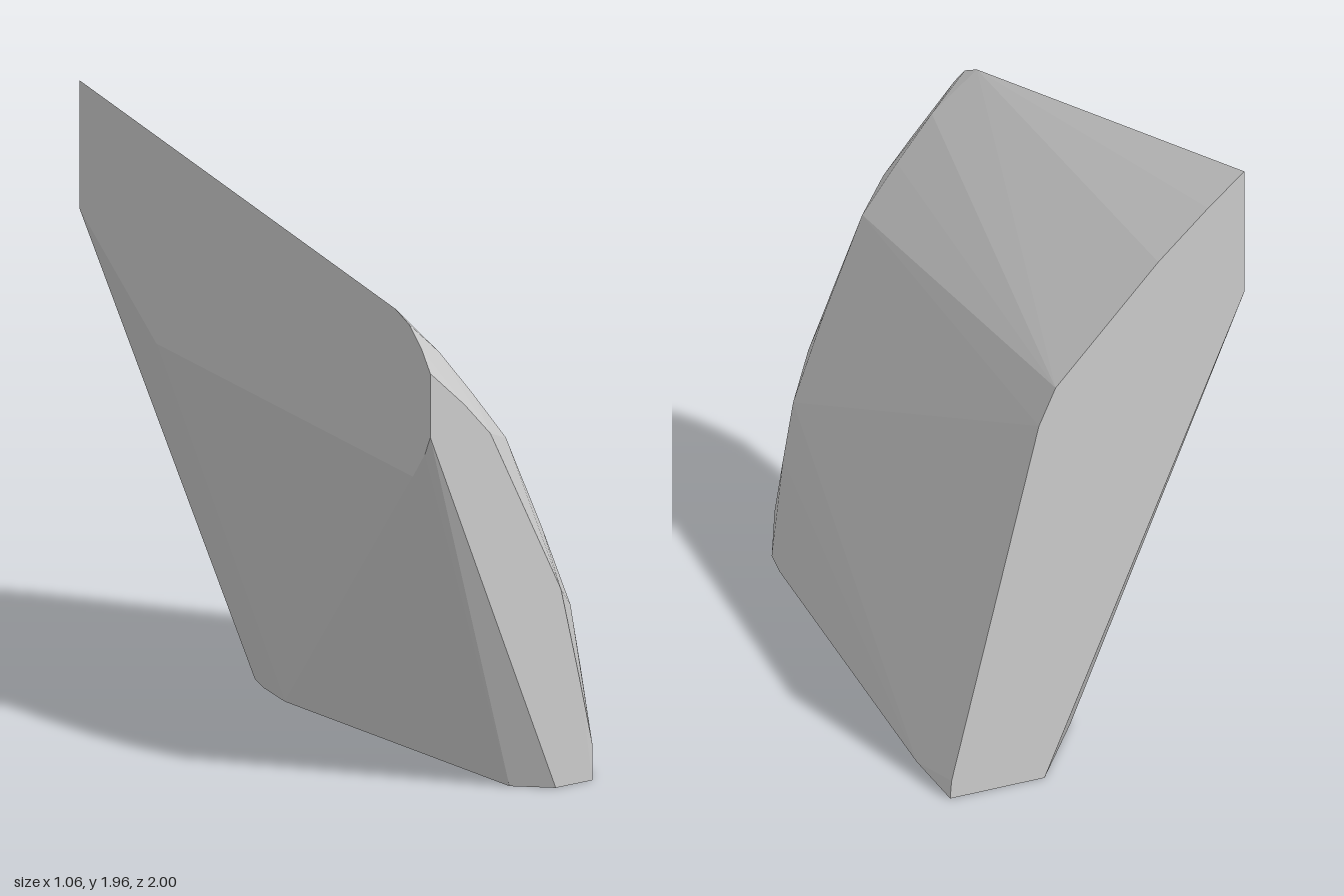
import * as THREE from 'three';
import { ConvexGeometry } from 'three/addons/geometries/ConvexGeometry.js';

export function createModel() {
  const group = new THREE.Group();
  group.name = 'facetedShard';
  const stone = new THREE.MeshStandardMaterial({ color: 0xcccccc });
  stone.name = 'lightGrey';

  // Flat back end, as x, y at z = -1
  const back = [
    [-0.53, 1.96], [-0.4, 1.86], [-0.22, 1.71], [0.15, 1.35], [0.21, 1.23],
    [0.525, 0.06], [0.53, 0], [0.19, 0], [-0.53, 1.54],
  ].map(([x, y]) => [x, y, -1]);

  // Flat front end, as x, y at z = 1
  const front = [
    [-0.53, 1.43], [-0.4, 1.31], [-0.3, 1.2], [-0.03, 0.65],
    [0.04, 0.35], [-0.05, 0], [-0.53, 1.22],
  ].map(([x, y]) => [x, y, 1]);

  // Rounded shoulder between the front end and the outer side
  const shoulder = [
    [-0.53, 1.6, 0.8], [-0.53, 1.565, 0.88], [-0.53, 1.5, 0.95],
    [-0.4, 1.45, 0.86], [-0.28, 1.3, 0.87], [-0.16, 1.14, 0.88],
    [-0.02, 0.82, 0.88], [0.1, 0.55, 0.86], [0.125, 0.35, 0.88],
    [0.1, 0.12, 0.985],
  ];

  // Outline of the flat base
  const base = [
    [0.49, 0, -0.7], [0.18, 0, 0.8], [0.145, 0, 0.92], [0.1, 0, 0.985],
    [-0.16, 0, 0.9], [-0.16, 0, -0.38], [-0.12, 0, -0.56], [-0.08, 0, -0.67],
  ];

  // Lower edge of the flat cut side
  const cut = [[-0.53, 1.19, -0.56], [-0.53, 1.07, 0.9], [-0.53, 1.16, 0.97]];

  const points = [...back, ...front, ...shoulder, ...base, ...cut]
    .map((p) => new THREE.Vector3(...p));
  const shard = new THREE.Mesh(new ConvexGeometry(points), stone);
  shard.name = 'shardBody';
  group.add(shard);
  return group;
}
